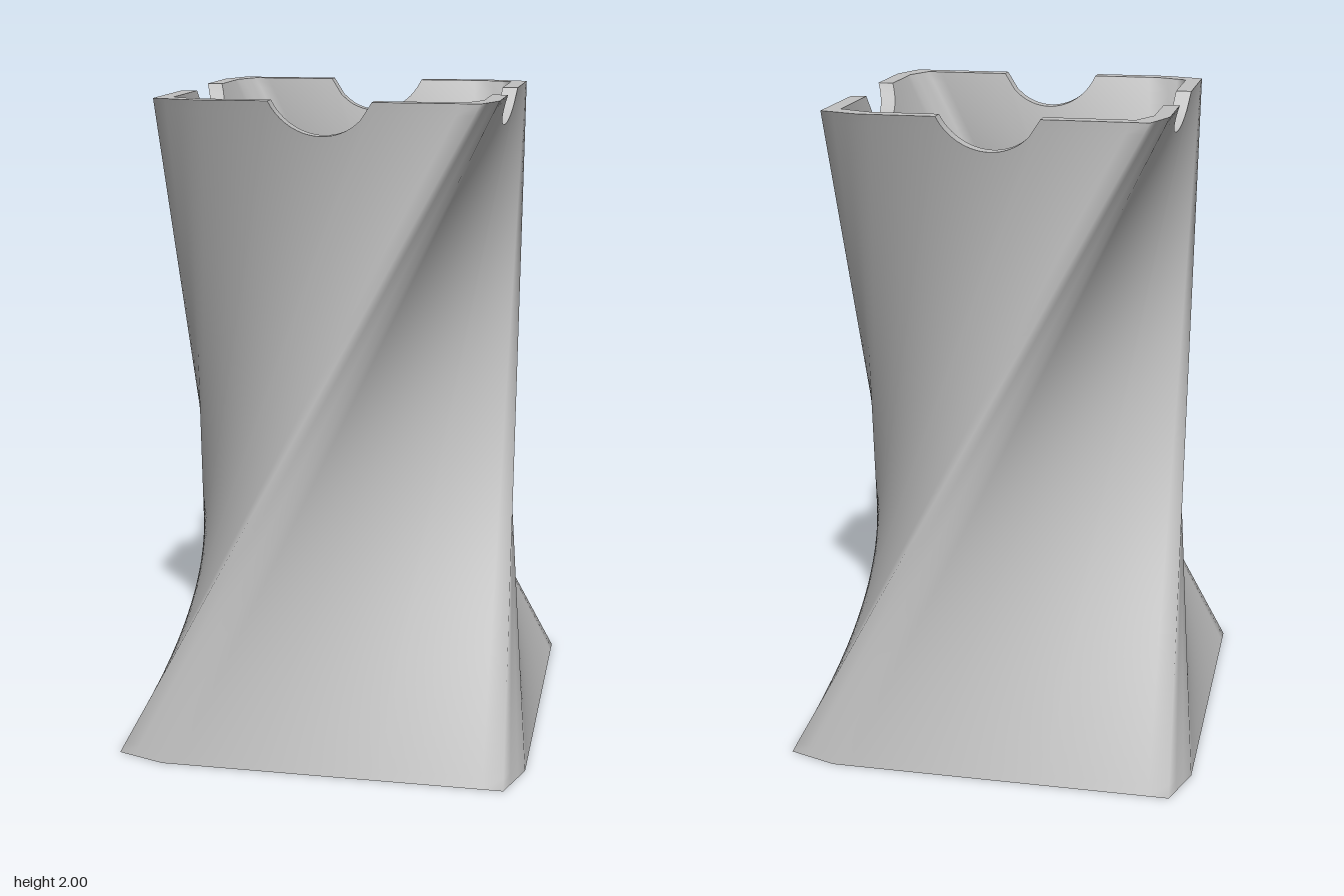
import * as THREE from 'three';
import { toCreasedNormals } from 'three/addons/utils/BufferGeometryUtils.js';

const HEIGHT = 2;
const FLOOR = 0.05;
const NOTCH = { halfWidth: 0.15, radius: 0.1625, y: 2.0625 };

// Chamfered squares at the rim: half width h, straight edge from -a to b.
// "spread" is how much larger the section is at the foot.
const OUTER = { h: 0.497, a: 0.378, b: 0.456, spread: 1.255 };
const INNER = { h: 0.45, a: 0.36, b: 0.41, spread: 1.275 };

// Rim points of one loop; both loops have matching counts
function rimPoints({ h, a, b }) {
  const side = [];
  const run = (x0, x1, n) => {
    for (let i = 0; i < n; i++) side.push([x0 + (x1 - x0) * i / n, h, false]);
  };
  const w = NOTCH.halfWidth;
  run(-a, -w, 6);
  run(-w, w, 20);
  run(w, b, 6);
  for (let i = 0; i < 3; i++) side.push([b + (h - b) * i / 3, h + (a - h) * i / 3, true]);
  const points = [];
  for (let k = 0; k < 4; k++) {
    for (const [x, z, corner] of side) {
      let p = [x, z];
      for (let r = 0; r < k; r++) p = [p[1], -p[0]];
      points.push({ x: p[0], z: p[1], across: corner ? 1 : x, k });
    }
  }
  return points;
}

// Straight line from the foot (a quarter turn back) to the rim
function pointAt(p, t, spread) {
  const x = THREE.MathUtils.lerp(-p.z * spread, p.x, t);
  const z = THREE.MathUtils.lerp(p.x * spread, p.z, t);
  return new THREE.Vector3(x, HEIGHT * t, z);
}

// Height fraction at which a wall line meets the round notch
function topOf(p, spread) {
  if (Math.abs(p.across) >= NOTCH.halfWidth - 1e-6) return 1;
  let low = 0.85, high = 1;
  for (let i = 0; i < 30; i++) {
    const t = (low + high) / 2;
    const q = pointAt(p, t, spread);
    const s = [q.x, -q.z, -q.x, q.z][p.k];
    if (Math.hypot(s, q.y - NOTCH.y) < NOTCH.radius) high = t;
    else low = t;
  }
  return low;
}

// Closed surface strip from rows of equal length
function loft(rows, flip) {
  const n = rows[0].length;
  const index = [];
  for (let j = 0; j < rows.length - 1; j++) {
    for (let i = 0; i < n; i++) {
      const a = j * n + i, b = j * n + (i + 1) % n, c = b + n, d = a + n;
      if (flip) index.push(a, c, b, a, d, c);
      else index.push(a, b, c, a, c, d);
    }
  }
  const geometry = new THREE.BufferGeometry().setFromPoints(rows.flat());
  geometry.setIndex(index);
  geometry.computeVertexNormals();
  return geometry;
}

// Flat cap inside a loop
function cap(loop, faceUp) {
  const y = loop[0].y;
  const index = [];
  const n = loop.length;
  for (let i = 0; i < n; i++) {
    const j = (i + 1) % n;
    index.push(n, faceUp ? i : j, faceUp ? j : i);
  }
  const geometry = new THREE.BufferGeometry().setFromPoints([...loop, new THREE.Vector3(0, y, 0)]);
  geometry.setIndex(index);
  geometry.computeVertexNormals();
  return geometry;
}

// Rows of a wall, rising from fraction t0 to the notched rim
function wallRows(section, t0, steps = 60) {
  const points = rimPoints(section);
  const tops = points.map((p) => topOf(p, section.spread));
  return Array.from({ length: steps + 1 }, (_, j) =>
    points.map((p, i) => pointAt(p, THREE.MathUtils.lerp(t0, tops[i], j / steps), section.spread)));
}

export function createModel() {
  const group = new THREE.Group();
  group.name = 'twistedVase';
  const grey = new THREE.MeshStandardMaterial({ color: 0xc0c0c0 });
  grey.name = 'light grey';

  const add = (name, geometry) => {
    const mesh = new THREE.Mesh(geometry, grey);
    mesh.name = name;
    group.add(mesh);
  };

  const outer = wallRows(OUTER, 0);
  const inner = wallRows(INNER, FLOOR / HEIGHT);

  add('outerWall', loft(outer, false));
  add('innerWall', loft(inner, true));
  // Rim with its four round notches
  add('rim', toCreasedNormals(loft([outer.at(-1), inner.at(-1)], false), 0.4));
  add('underside', cap(outer[0], false));
  add('innerFloor', cap(inner[0], true));
  return group;
}
